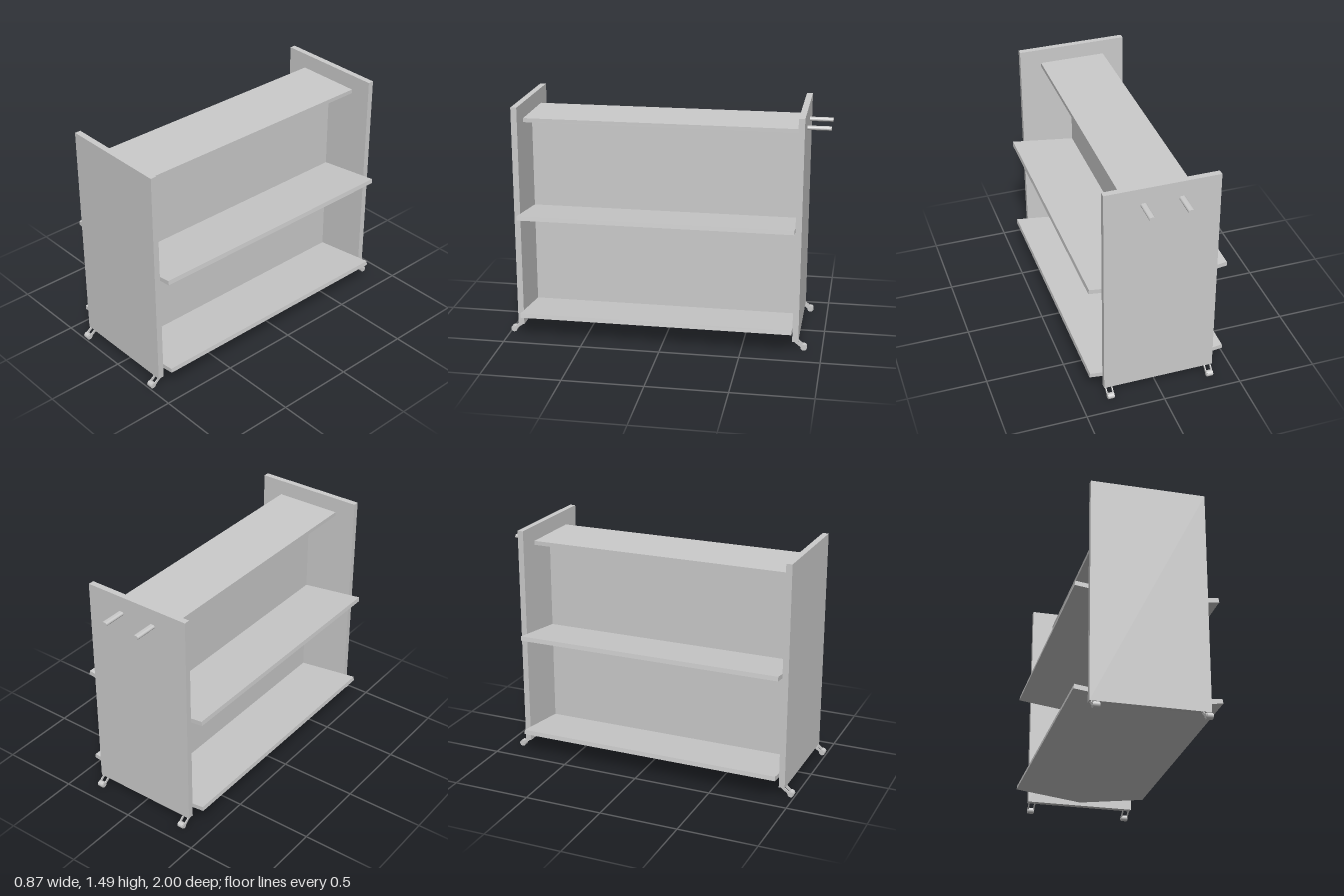
import * as THREE from 'three';

const material = new THREE.MeshStandardMaterial({ color: 0xcccccc });
const CX = -0.013;               // middle of the trolley in x
const Z0 = -0.815, Z1 = 0.906;   // inner faces of the end panels

function add(parent, name, geometry, x = 0, y = 0, z = 0) {
  const mesh = new THREE.Mesh(geometry, material);
  mesh.name = name;
  mesh.position.set(x, y, z);
  parent.add(mesh);
  return mesh;
}

function extrude(shape, depth) {
  return new THREE.ExtrudeGeometry(shape, { depth, bevelEnabled: false, curveSegments: 10 });
}

// Flat bar with rounded ends, centred on the origin
function stadium(width, height) {
  const r = height / 2, a = width / 2 - r;
  const s = new THREE.Shape();
  s.moveTo(-a, -r);
  s.lineTo(a, -r);
  s.absarc(a, 0, r, -Math.PI / 2, Math.PI / 2, false);
  s.lineTo(-a, r);
  s.absarc(-a, 0, r, Math.PI / 2, Math.PI * 1.5, false);
  return s;
}

// Book shelf: two leaves sloping down to the middle
function slopedShelf(bottom) {
  const rise = 0.056, t = 0.028;
  const s = new THREE.Shape();
  s.moveTo(0, bottom);
  s.lineTo(0.437, bottom + rise);
  s.lineTo(0.433, bottom + rise + t);
  s.lineTo(0, bottom + t);
  s.lineTo(-0.433, bottom + rise + t);
  s.lineTo(-0.437, bottom + rise);
  s.closePath();
  return extrude(s, Z1 - Z0);
}

// Caster trailing outwards along +z from its mount at the origin
function createCaster() {
  const caster = new THREE.Group();
  caster.name = 'caster';
  const drop = -0.04, out = 0.052, r = 0.02;
  const wheel = add(caster, 'wheel', new THREE.CylinderGeometry(r, r, 0.036, 24), 0, drop, out);
  wheel.rotation.z = Math.PI / 2;
  // fork arms on both sides of the wheel
  for (const side of [-1, 1]) {
    const arm = add(caster, 'forkArm', new THREE.BoxGeometry(0.006, 0.017, Math.hypot(drop, out) + 0.012),
      side * 0.019, drop / 2 + 0.004, out / 2 - 0.005);
    arm.rotation.x = Math.atan2(-drop, out);
    const hub = add(caster, 'forkHub', new THREE.CylinderGeometry(0.016, 0.016, 0.006, 20), side * 0.019, drop, out);
    hub.rotation.z = Math.PI / 2;
  }
  return caster;
}

export function createModel() {
  const model = new THREE.Group();
  model.name = 'bookTrolley';
  const length = Z1 - Z0, midZ = (Z0 + Z1) / 2;

  // End panels
  const panel = new THREE.BoxGeometry(0.71, 1.425, 0.038);
  add(model, 'frontPanel', panel, CX, 0.7725, Z1 + 0.019);
  add(model, 'backPanel', panel, CX, 0.7725, Z0 - 0.019);

  // Central divider and flat top shelf
  add(model, 'divider', new THREE.BoxGeometry(0.025, 1.26, length), CX, 0.735, midZ);
  add(model, 'topShelf', new THREE.BoxGeometry(0.43, 0.026, length), CX, 1.374, midZ);

  // Sloped shelves
  add(model, 'middleShelf', slopedShelf(0.732), CX, 0, Z0);
  add(model, 'bottomShelf', slopedShelf(0.082), CX, 0, Z0);

  // Push handles on the back panel
  const handle = extrude(stadium(0.038, 0.024), 0.15);
  for (const side of [-1, 1]) add(model, 'handle', handle, CX + side * 0.116, 1.374, -1);

  // Casters under the four corners
  for (const side of [-1, 1]) {
    for (const end of [-1, 1]) {
      const caster = createCaster();
      caster.position.set(CX + side * 0.325, 0.06, end > 0 ? Z1 + 0.02 : Z0 - 0.02);
      if (end < 0) caster.rotation.y = Math.PI;
      model.add(caster);
    }
  }
  return model;
}
